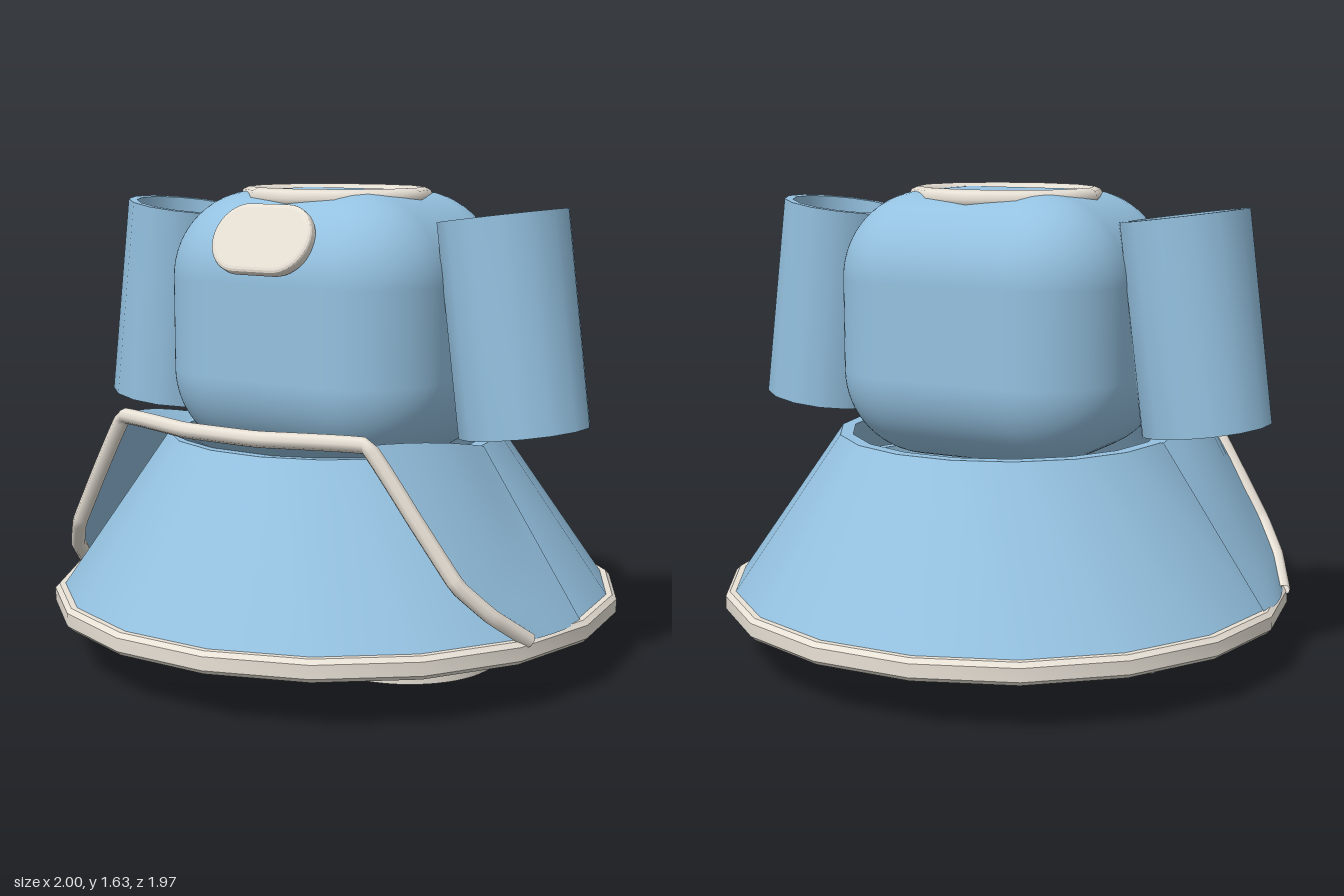
import * as THREE from 'three';
import { toCreasedNormals } from 'three/addons/utils/BufferGeometryUtils.js';
import { RoundedBoxGeometry } from 'three/addons/geometries/RoundedBoxGeometry.js';

const SIDES = 18;
const V = (x, y, z) => new THREE.Vector3(x, y, z);

export function createModel() {
  const model = new THREE.Group();
  const cloth = new THREE.MeshStandardMaterial({ color: 0x94c1e0, side: THREE.DoubleSide });
  const trim = new THREE.MeshStandardMaterial({ color: 0xe8e1d6, side: THREE.DoubleSide });

  const add = (name, geometry, material, parent = model) => {
    const mesh = new THREE.Mesh(geometry, material);
    mesh.name = name;
    parent.add(mesh);
    return mesh;
  };

  // Closed profile turned around the y axis, with sharp rims
  const ring = (profile, sides, start = 0) => {
    const points = [...profile, profile[0]].map(([r, y]) => new THREE.Vector2(r, y));
    return toCreasedNormals(new THREE.LatheGeometry(points, sides, start), 0.65);
  };

  // Surface through rows of points
  const loft = (rows) => {
    const n = rows[0].length, index = [];
    for (let i = 0; i < rows.length - 1; i++) {
      for (let j = 0; j < n - 1; j++) {
        const a = i * n + j, b = a + n;
        index.push(a, b, a + 1, b, b + 1, a + 1);
      }
    }
    const geometry = new THREE.BufferGeometry().setFromPoints(rows.flat());
    geometry.setIndex(index);
    geometry.computeVertexNormals();
    return geometry;
  };

  // Body and neck
  const body = add('body', new RoundedBoxGeometry(1.04, 0.92, 0.9, 8, 0.3), cloth);
  body.position.y = 1.16;
  const collar = add('collar', new THREE.TorusGeometry(0.315, 0.033, 8, 12), trim);
  collar.rotation.x = Math.PI / 2;
  collar.scale.set(1, 0.87, 1);
  collar.position.y = 1.598;

  // Oval plate on the upper chest
  const oval = new THREE.Shape();
  const w = 0.075, r = 0.105;
  oval.moveTo(-w, -r);
  oval.lineTo(w, -r);
  oval.absarc(w, 0, r, -Math.PI / 2, Math.PI / 2);
  oval.lineTo(-w, r);
  oval.absarc(-w, 0, r, Math.PI / 2, Math.PI * 1.5);
  const plateGeometry = new THREE.ExtrudeGeometry(oval, {
    depth: 0.02, bevelSize: 0.018, bevelThickness: 0.012, bevelSegments: 3, curveSegments: 10,
  });
  const plate = add('chestPlate', plateGeometry, trim);
  plate.position.set(0, 1.465, 0.415);
  plate.rotation.x = -0.46;

  // Skirt and hem
  const start = Math.PI / SIDES;
  add('skirt', ring([[0.985, 0.21], [0.59, 0.78], [0.545, 0.78], [0.945, 0.21]], SIDES, start), cloth);
  add('hem', ring([
    [0.94, 0.165], [0.985, 0.165], [1, 0.18], [1, 0.225], [0.985, 0.24], [0.955, 0.24], [0.94, 0.225],
  ], SIDES, start), trim);

  // Open-fronted overskirt: each side runs from the skirt flank to the trimmed front edge
  const frontEdge = [V(0.94, 0.235, 0.29), V(0.87, 0.33, 0.41), V(0.79, 0.43, 0.485), V(0.65, 0.64, 0.525), V(0.5, 0.855, 0.56)];
  const flank = frontEdge.map((p, i) => {
    const t = i / (frontEdge.length - 1);
    return V(0.975 - 0.375 * t, 0.235 + 0.545 * t, 0);
  });
  const STEPS = 8;
  const rows = frontEdge.map((p, i) => {
    const row = [];
    for (let j = 0; j <= STEPS; j++) {
      const s = j / STEPS;
      const point = flank[i].clone().lerp(p, s);
      point.x += 0.05 * Math.sin(Math.PI * s) * (0.3 + 0.7 * i / 4);
      point.y = THREE.MathUtils.lerp(flank[i].y, p.y, Math.sin(s * Math.PI / 2));
      row.push(point);
    }
    return row;
  });
  const mirror = (p) => V(-p.x, p.y, p.z);
  add('overskirtLeft', loft(rows), cloth);
  add('overskirtRight', loft(rows.map((row) => row.map(mirror).reverse())), cloth);

  // Ledge joining the skirt rim to the top edge of the overskirt
  const leftTop = [...rows[4], V(0.33, 0.855, 0.61), V(0.15, 0.855, 0.655)];
  const topEdge = [...leftTop, ...leftTop.map(mirror).reverse()];
  const rim = topEdge.map((p) => {
    const k = 0.55 / Math.hypot(p.x, p.z);
    return V(p.x * k, 0.775, p.z * k);
  });
  add('overskirtLedge', loft([topEdge, rim]), cloth);

  // Trim along the front edges and across the waist
  const half = [...frontEdge, V(0.15, 0.855, 0.66)];
  const path = new THREE.CatmullRomCurve3([...half, ...half.map(mirror).reverse()], false, 'catmullrom', 0.08);
  add('overskirtTrim', new THREE.TubeGeometry(path, 80, 0.027, 8), trim);

  // U-shaped wall, open at the back
  const wall = (outer, inner, back, height) => {
    const shape = new THREE.Shape();
    shape.moveTo(outer, back);
    shape.lineTo(outer, 0);
    shape.absarc(0, 0, outer, 0, Math.PI, true);
    shape.lineTo(-outer, back);
    shape.lineTo(-inner, back);
    shape.lineTo(-inner, 0);
    shape.absarc(0, 0, inner, Math.PI, 0, false);
    shape.lineTo(inner, back);
    const geometry = new THREE.ExtrudeGeometry(shape, { depth: height, bevelEnabled: false, curveSegments: 14 });
    return toCreasedNormals(geometry.rotateX(-Math.PI / 2), 0.6);
  };

  for (const side of [1, -1]) {
    const name = side > 0 ? 'Left' : 'Right';

    // Hollow sleeve, leaning outward at the cuff
    const sleeve = add('sleeve' + name, ring([
      [0.22, -0.357], [0.22, 0.357], [0.19, 0.357], [0.19, -0.357],
    ], 14), cloth);
    sleeve.position.set(side * 0.707, 1.197, 0);
    sleeve.rotation.z = side * 0.13;

    // Trouser leg with a cuff at the foot
    const leg = new THREE.Group();
    leg.name = 'leg' + name;
    leg.position.set(side * 0.31, 0, 0.015);
    model.add(leg);
    add('trouser' + name, wall(0.3, 0.265, 0.115, 0.58), cloth, leg).position.y = 0.06;
    add('cuff' + name, wall(0.312, 0.255, 0.125, 0.075), trim, leg);
  }

  return model;
}
